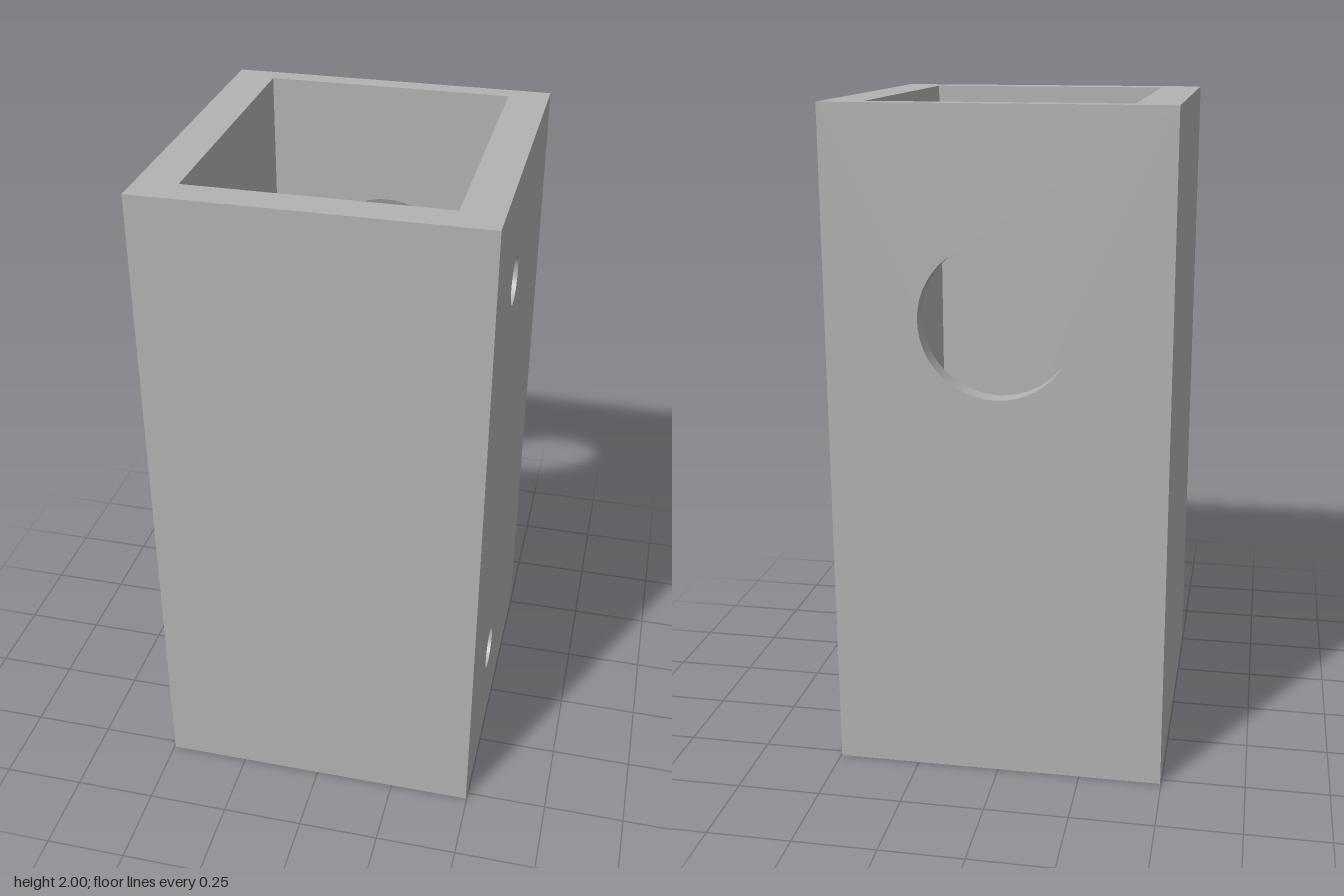
import * as THREE from 'three';

export function createModel() {
  const group = new THREE.Group();
  const grey = new THREE.MeshStandardMaterial({ color: 0xb2b2b2, side: THREE.DoubleSide });
  grey.name = 'grey';

  // Outer half sizes, inner cavity limits and height
  const X = 0.497, Z = 0.524, H = 2;
  const IX = 0.375, Z0 = -0.465, Z1 = 0.425;
  const Q = Math.PI / 2, SEG = 48;

  // Screw holes in the left wall, counterbored from the inside
  const SCREW_Z = 0.14, SCREW_Y = [0.32, 1.68], SCREW_R = 0.07, BORE_R = 0.12, FLOOR_X = 0.435;
  // Large port in the back wall
  const PORT_Y = 1.4, PORT_R = 0.225;

  const add = (name, geometry) => {
    const mesh = new THREE.Mesh(geometry, grey);
    mesh.name = name;
    group.add(mesh);
    return mesh;
  };

  const rect = (x0, x1, y0, y1, Type = THREE.Shape) => new Type([
    new THREE.Vector2(x0, y0), new THREE.Vector2(x1, y0),
    new THREE.Vector2(x1, y1), new THREE.Vector2(x0, y1),
  ]);

  // Upright face turned about y, set off along its own normal, with round holes [u, y, r]
  const wall = (name, angle, dist, u0, u1, holes = []) => {
    const shape = rect(u0, u1, 0, H);
    for (const [u, y, r] of holes) {
      shape.holes.push(new THREE.Path().absarc(u, y, r, 0, Math.PI * 2, true));
    }
    const mesh = add(name, new THREE.ShapeGeometry(shape, SEG / 2));
    mesh.rotation.y = angle;
    mesh.position.set(Math.sin(angle) * dist, 0, Math.cos(angle) * dist);
  };

  const port = [[0, PORT_Y, PORT_R]];

  // Outer faces
  wall('frontOuter', 0, Z, -X, X);
  wall('backOuter', Math.PI, Z, -X, X, port);
  wall('leftOuter', Q, X, -Z, Z, SCREW_Y.map((y) => [-SCREW_Z, y, SCREW_R]));
  wall('rightOuter', -Q, X, -Z, Z);

  // Inner faces
  wall('frontInner', Math.PI, -Z1, -IX, IX);
  wall('backInner', 0, Z0, -IX, IX, port);
  wall('leftInner', -Q, -IX, Z0, Z1, SCREW_Y.map((y) => [SCREW_Z, y, BORE_R]));
  wall('rightInner', Q, -IX, -Z1, -Z0);

  // Open rims at both ends
  const rim = (name, y, turn) => {
    const shape = rect(-X, X, -Z, Z);
    shape.holes.push(turn < 0 ? rect(-IX, IX, -Z1, -Z0, THREE.Path) : rect(-IX, IX, Z0, Z1, THREE.Path));
    const mesh = add(name, new THREE.ShapeGeometry(shape));
    mesh.rotation.x = turn;
    mesh.position.y = y;
  };
  rim('topRim', H, -Q);
  rim('bottomRim', 0, Q);

  // Bore walls
  const bore = (name, r, length) =>
    add(name, new THREE.CylinderGeometry(r, r, length, SEG, 1, true));

  const portBore = bore('portBore', PORT_R, Z + Z0);
  portBore.rotation.x = Q;
  portBore.position.set(0, PORT_Y, (Z0 - Z) / 2);

  for (const y of SCREW_Y) {
    const hole = bore('screwHole', SCREW_R, X - FLOOR_X);
    hole.rotation.z = Q;
    hole.position.set((X + FLOOR_X) / 2, y, SCREW_Z);

    const counterbore = bore('counterbore', BORE_R, FLOOR_X - IX);
    counterbore.rotation.z = Q;
    counterbore.position.set((FLOOR_X + IX) / 2, y, SCREW_Z);

    const floor = add('counterboreFloor', new THREE.RingGeometry(SCREW_R, BORE_R, SEG));
    floor.rotation.y = -Q;
    floor.position.set(FLOOR_X, y, SCREW_Z);
  }

  return group;
}
